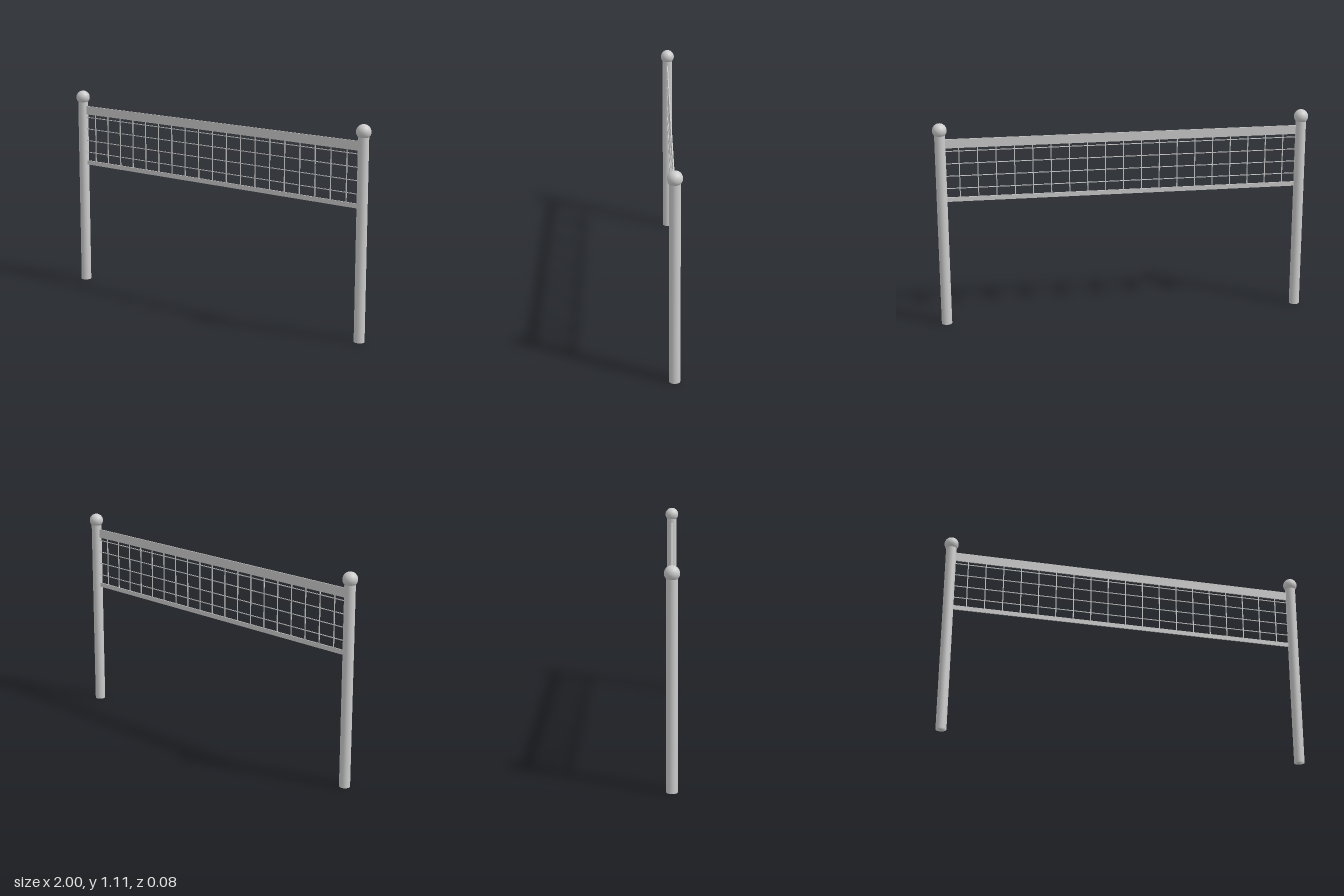
import * as THREE from 'three';
import { mergeVertices } from 'three/addons/utils/BufferGeometryUtils.js';

export function createModel() {
  const model = new THREE.Group();
  model.name = 'courtNet';
  const paint = new THREE.MeshStandardMaterial({ color: 0xcccccc });
  paint.name = 'light grey';

  const add = (name, geometry, x, y, parent = model) => {
    const mesh = new THREE.Mesh(geometry, paint);
    mesh.name = name;
    mesh.position.set(x, y, 0);
    parent.add(mesh);
  };

  // Weld the caps to the side so normals blend softly around the rims
  const weld = (geometry) => {
    geometry.deleteAttribute('normal');
    geometry.deleteAttribute('uv');
    const welded = mergeVertices(geometry, 1e-4);
    welded.computeVertexNormals();
    return welded;
  };

  const postX = 0.962, postHeight = 1.06;
  const postGeometry = weld(new THREE.CylinderGeometry(0.028, 0.028, postHeight, 16));
  const ballGeometry = new THREE.SphereGeometry(0.038, 24, 16);

  // Posts with ball finials
  for (const [side, sign] of [['left', 1], ['right', -1]]) {
    add(side + 'Post', postGeometry, sign * postX, postHeight / 2);
    add(side + 'Ball', ballGeometry, sign * postX, 1.068);
  }

  // Tapes along the top and bottom of the net
  add('topTape', new THREE.BoxGeometry(2 * postX, 0.048, 0.006), 0, 0.996);
  add('bottomTape', new THREE.BoxGeometry(2 * postX, 0.024, 0.006), 0, 0.694);

  // Net strands
  const net = new THREE.Group();
  net.name = 'net';
  model.add(net);
  const vertical = new THREE.BoxGeometry(0.005, 0.3, 0.004);
  const horizontal = new THREE.BoxGeometry(2 * postX, 0.004, 0.004);
  for (let i = -9; i <= 9; i++) add('verticalStrand', vertical, i * postX / 10, 0.84, net);
  for (let i = 0; i < 4; i++) add('horizontalStrand', horizontal, 0, 0.754 + i * 0.067, net);

  return model;
}
